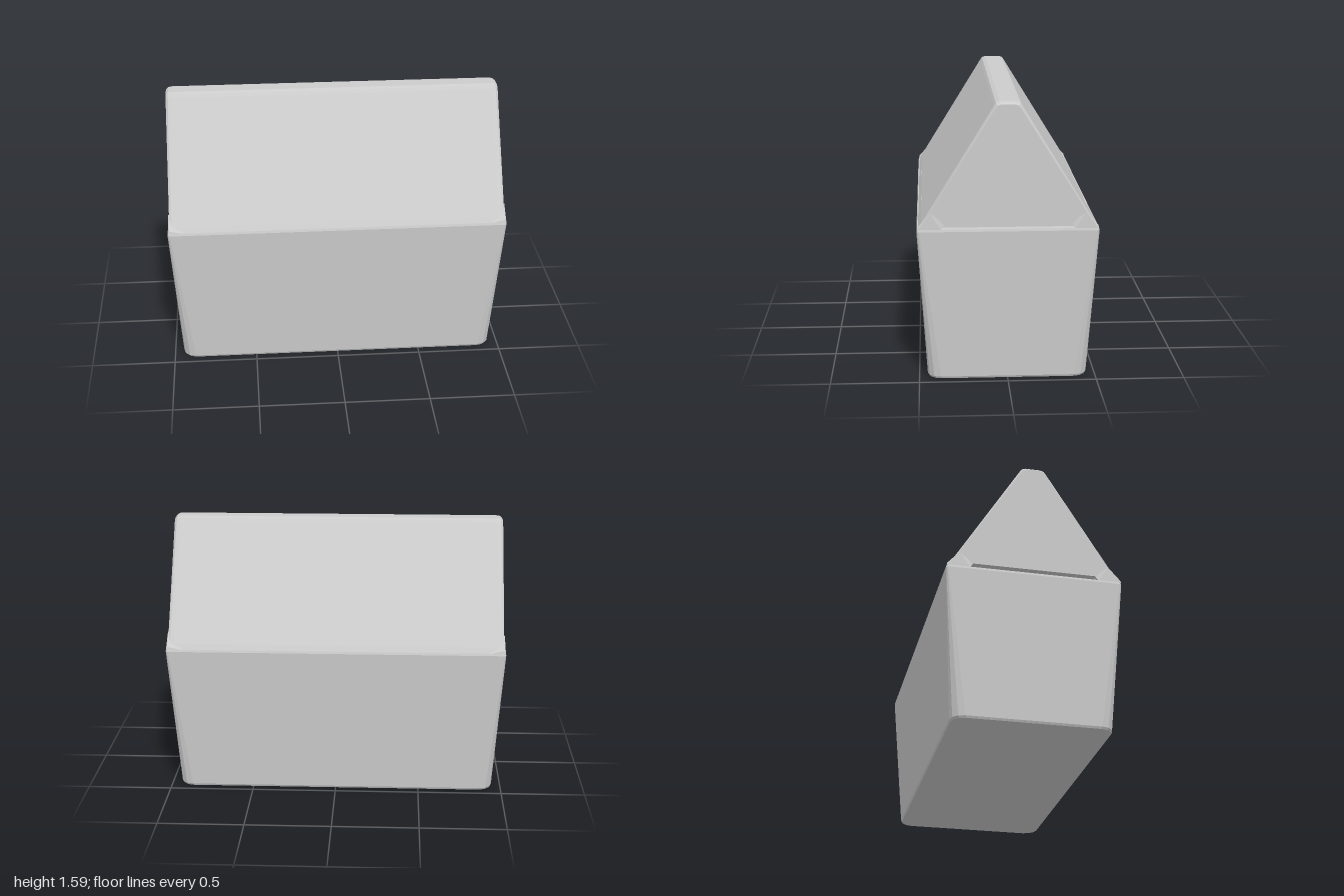
import * as THREE from 'three';
import { ConvexGeometry } from 'three/addons/geometries/ConvexGeometry.js';

// Horizontal rounded rectangle of points at height y
function ring(y, hx, hz, r, steps = 3) {
  const pts = [];
  for (const sx of [-1, 1]) for (const sz of [-1, 1]) {
    for (let i = 0; i <= steps; i++) {
      const a = (i / steps) * Math.PI / 2;
      pts.push(new THREE.Vector3(
        sx * (hx - r + r * Math.cos(a)), y, sz * (hz - r + r * Math.sin(a))));
    }
  }
  return pts;
}

// Right half of the roof profile as [z, y]
const roofProfile = [[0.483, 0.912], [0.08, 1.565], [0.068, 1.582], [0.045, 1.59]];

// Roof cross-section at x, shrunk inwards by inset
function gable(x, inset) {
  return roofProfile.flatMap(([z, y], i) => [-1, 1].map((s) =>
    new THREE.Vector3(x, i ? y - inset : y, s * (z - inset * 0.7))));
}

export function createModel() {
  const model = new THREE.Group();
  const grey = new THREE.MeshStandardMaterial({ color: 0xcccccc });
  grey.name = 'light grey';

  const add = (name, points) => {
    const mesh = new THREE.Mesh(new ConvexGeometry(points), grey);
    mesh.name = name;
    model.add(mesh);
  };

  // Tapered lower body, corners sharpen towards the rim
  add('body', [
    ...ring(0, 0.94, 0.447, 0.075),
    ...ring(0.012, 0.946, 0.453, 0.075),
    ...ring(0.872, 1.0, 0.506, 0.015),
    ...ring(0.885, 0.997, 0.502, 0.015),
  ]);

  // Recessed neck leaves a narrow slot at each end, with a sloping ledge front and back
  add('neck', [...ring(0.88, 0.95, 0.5, 0.01), ...ring(0.916, 0.95, 0.481, 0.01)]);

  // Pitched roof with a softened ridge and gable edges
  add('roof', [
    ...gable(-0.988, 0.014), ...gable(-0.974, 0.003), ...gable(-0.95, 0),
    ...gable(0.95, 0), ...gable(0.974, 0.003), ...gable(0.988, 0.014),
  ]);

  // Small flared gussets join roof and body at the four corners
  for (const sx of [-1, 1]) for (const sz of [-1, 1]) {
    add('cornerGusset', [
      [0.997, 0.882, 0.502], [0.99, 0.9, 0.498], [0.995, 0.882, 0.37], [0.985, 0.917, 0.35],
      [0.992, 0.975, 0.43], [0.9, 0.882, 0.5], [0.9, 0.917, 0.47], [0.9, 0.9, 0.36],
    ].map(([x, y, z]) => new THREE.Vector3(sx * x, y, sz * z)));
  }
  return model;
}
